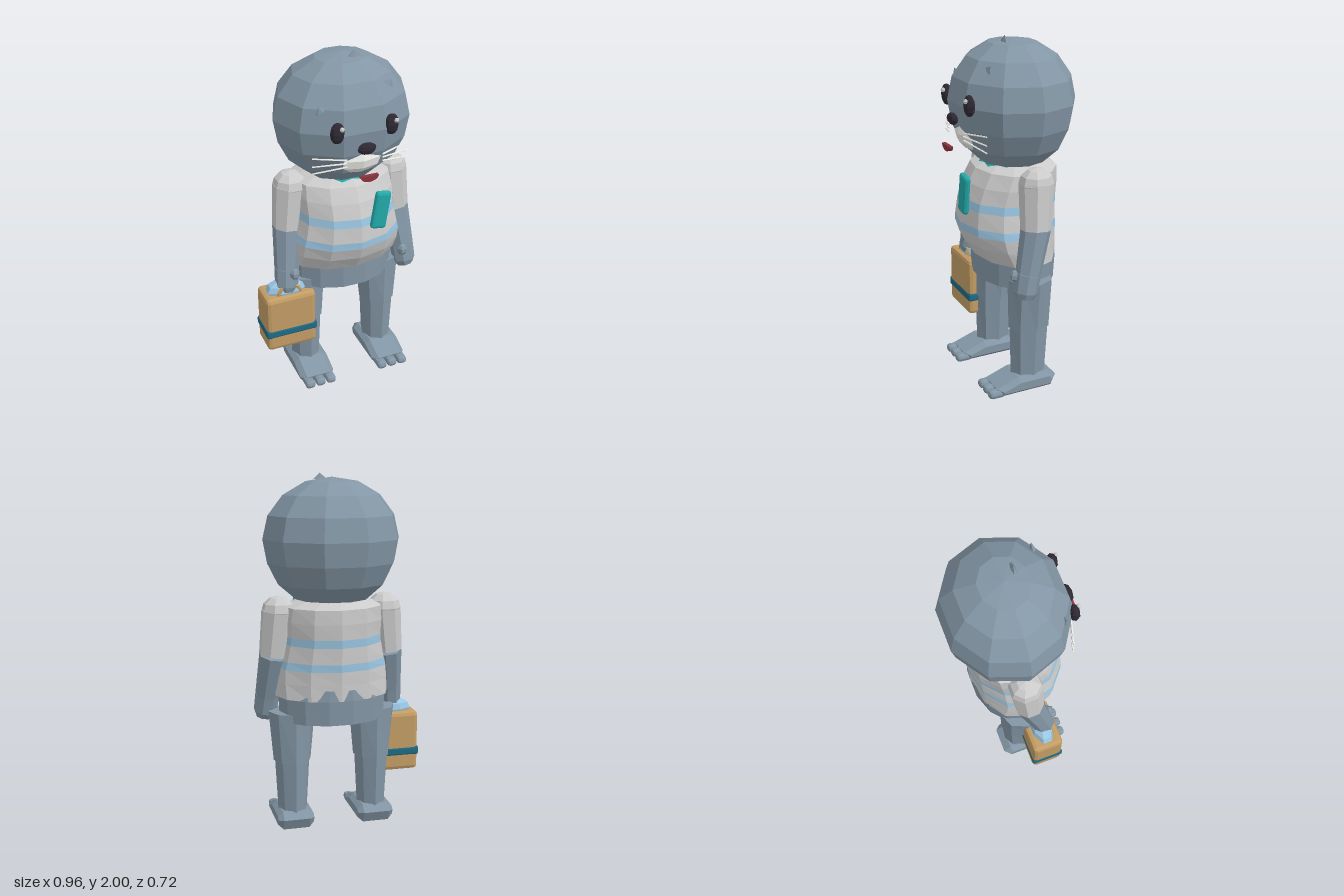
import * as THREE from 'three';
import { RoundedBoxGeometry } from 'three/addons/geometries/RoundedBoxGeometry.js';

const CX = 0.045; // the body stands slightly off centre because of the case

const mat = (color) => new THREE.MeshStandardMaterial({ color, flatShading: true, side: THREE.DoubleSide });
const M = {
  skin: mat(0x8396a5), white: mat(0xffffff), stripe: mat(0x9ac6e2), teal: mat(0x22aaaa),
  dark: mat(0x2e2833), mouth: mat(0x8a343c), tan: mat(0xc39d65), belt: mat(0x1f6a85), muzzle: mat(0xf0f0ec),
};

function add(parent, name, geometry, material, x = 0, y = 0, z = 0) {
  const mesh = new THREE.Mesh(geometry, material);
  mesh.name = name;
  mesh.position.set(x, y, z);
  parent.add(mesh);
  return mesh;
}

const ball = (rx, ry, rz, w = 8, h = 6) => new THREE.SphereGeometry(1, w, h).scale(rx, ry, rz);
const block = (w, h, d, r) => new RoundedBoxGeometry(w, h, d, 1, r);

// Skin through elliptical rings [y, halfWidth, zFront, zBack], listed from top to bottom
function loft(rings, n = 12, capTop = true, capBottom = true) {
  const pos = [], idx = [];
  for (const [y, rx, zf, zb] of rings) {
    for (let j = 0; j < n; j++) {
      const a = (j / n) * Math.PI * 2;
      pos.push(Math.cos(a) * rx, y, (zf + zb) / 2 + Math.sin(a) * (zf - zb) / 2);
    }
  }
  for (let i = 0; i < rings.length - 1; i++) {
    for (let j = 0; j < n; j++) {
      const k = (j + 1) % n, a = i * n, b = a + n;
      idx.push(a + j, a + k, b + j, a + k, b + k, b + j);
    }
  }
  const last = (rings.length - 1) * n;
  for (let j = 1; j < n - 1; j++) {
    if (capTop) idx.push(0, j + 1, j);
    if (capBottom) idx.push(last, last + j, last + j + 1);
  }
  const g = new THREE.BufferGeometry();
  g.setAttribute('position', new THREE.Float32BufferAttribute(pos, 3));
  g.setIndex(idx);
  g.computeVertexNormals();
  return g;
}

// Tapered rod between two points
function rod(parent, name, p, q, r0, r1, material, sides = 8) {
  const a = new THREE.Vector3(...p), b = new THREE.Vector3(...q);
  const dir = b.clone().sub(a);
  const mid = a.clone().add(b).multiplyScalar(0.5);
  const g = new THREE.CylinderGeometry(r1, r0, dir.length(), sides).rotateY(Math.PI / sides);
  const mesh = add(parent, name, g, material, mid.x, mid.y, mid.z);
  mesh.quaternion.setFromUnitVectors(new THREE.Vector3(0, 1, 0), dir.normalize());
}

function makeHead() {
  const head = new THREE.Group();
  head.name = 'head';
  const profile = [[1.98, 0.002], [1.957, 0.148], [1.885, 0.274], [1.776, 0.358], [1.648, 0.388],
    [1.518, 0.364], [1.4, 0.305], [1.313, 0.205], [1.285, 0.002]];
  add(head, 'skull', loft(profile.map(([y, r]) => [y, r, -0.03 + r * 0.894, -0.03 - r * 0.894]), 10), M.skin);

  // Hair tufts
  for (const [x, y, z, tilt, s] of [[0.05, 1.983, 0.037, 0, 1], [-0.215, 1.78, 0.21, 0.5, 0.8], [0.185, 1.858, 0.186, -0.6, 0.8]]) {
    const tuft = add(head, 'hairTuft', new THREE.ConeGeometry(1, 1, 6).scale(0.043 * s, 0.036, 0.014), M.skin, x, y, z);
    tuft.rotation.z = tilt;
  }

  // Face
  for (const s of [-1, 1]) {
    add(head, 'eye', ball(0.041, 0.059, 0.03), M.dark, s * 0.152, 1.668, 0.288);
    add(head, 'eyeGlint', ball(0.014, 0.014, 0.012, 6, 4), M.white, s * 0.152 + 0.015, 1.697, 0.315);
    for (const [y0, y1] of [[1.51, 1.527], [1.492, 1.48], [1.472, 1.44]]) {
      rod(head, 'whisker', [s * 0.1, y0, 0.3], [s * 0.275, y1, 0.246], 0.005, 0.004, M.muzzle, 5);
    }
  }
  add(head, 'muzzle', ball(0.15, 0.094, 0.09), M.muzzle, 0, 1.482, 0.202);
  add(head, 'nose', ball(0.053, 0.033, 0.025), M.dark, 0, 1.57, 0.32);
  const smile = new THREE.Shape();
  smile.absarc(0, 0, 0.052, Math.PI, Math.PI * 2, false);
  const smileGeo = new THREE.ExtrudeGeometry(smile, { depth: 0.022, bevelEnabled: false, curveSegments: 5 }).scale(1, 0.65, 1);
  add(head, 'mouth', smileGeo, M.mouth, 0, 1.43, 0.34);
  return head;
}

function makeTorso() {
  const torso = new THREE.Group();
  torso.name = 'torso';
  // Striped shirt, one strip per colour
  const rings = [
    [1.312, 0.2, 0.12, -0.22], [1.28, 0.285, 0.19, -0.268], [1.2, 0.295, 0.235, -0.272], [1.115, 0.292, 0.265, -0.268],
    [1.07, 0.298, 0.275, -0.265], [0.978, 0.318, 0.285, -0.262], [0.935, 0.33, 0.284, -0.26],
    [0.86, 0.333, 0.257, -0.257], [0.77, 0.328, 0.198, -0.255],
  ];
  const strips = [[0, 3, 'white'], [3, 4, 'stripe'], [4, 5, 'white'], [5, 6, 'stripe'], [6, 8, 'white']];
  for (const [from, to, color] of strips) {
    const g = loft(rings.slice(from, to + 1), 12, from === 0, to === 8);
    add(torso, color === 'white' ? 'shirt' : 'shirtStripe', g, M[color]);
  }
  // The hips show through the shirt only low on the back
  add(torso, 'hips', loft([[0.83, 0.27, 0.15, -0.253], [0.77, 0.312, 0.19, -0.258], [0.632, 0.306, 0.185, -0.25]], 14), M.skin);

  // Collar and tie
  add(torso, 'collar', loft([[1.325, 0.175, 0.13, -0.19], [1.29, 0.2, 0.155, -0.21]], 10), M.teal);
  const tie = add(torso, 'tie', block(0.092, 0.225, 0.038, 0.018), M.teal, 0.097, 1.175, 0.3);
  tie.rotation.z = -0.15;
  return torso;
}

function makeArm(s) {
  const arm = new THREE.Group();
  arm.name = s > 0 ? 'leftArm' : 'rightArm';
  const shoulder = [s * 0.305, 1.25, -0.028], elbow = [s * 0.332, 1.0, -0.014];
  const wrist = [s * 0.362, 0.76, 0.045], palm = [s * 0.372, 0.66, 0.066];
  add(arm, 'shoulder', ball(0.095, 0.088, 0.098, 8, 6).rotateY(Math.PI / 8), M.white, ...shoulder);
  rod(arm, 'sleeve', elbow, shoulder, 0.084, 0.096, M.white);
  rod(arm, 'forearm', wrist, elbow, 0.07, 0.083, M.skin);
  rod(arm, 'hand', palm, wrist, 0.067, 0.07, M.skin);
  rod(arm, 'fingers', [s * 0.376, 0.627, 0.073], palm, 0.05, 0.067, M.skin);
  add(arm, 'thumb', ball(0.031, 0.035, 0.032, 6, 5), M.skin, s * 0.338, 0.75, 0.11);
  return arm;
}

function makeLeg(s) {
  const leg = new THREE.Group();
  leg.name = s > 0 ? 'leftLeg' : 'rightLeg';
  leg.position.x = s * 0.235;
  add(leg, 'thigh', loft([[0.68, 0.134, 0.1, -0.157], [0.39, 0.108, 0.1, -0.15]], 8), M.skin);
  add(leg, 'shin', loft([[0.39, 0.1, 0.094, -0.145], [0.09, 0.084, 0.085, -0.13]], 8), M.skin);

  // Foot: chamfered side profile sloping down towards the toes
  const side = new THREE.Shape([[-0.118, 0.03], [0.17, 0.03], [0.175, 0.042], [0.07, 0.078], [-0.11, 0.078], [-0.132, 0.06]]
    .map(([z, y]) => new THREE.Vector2(z, y)));
  const foot = new THREE.ExtrudeGeometry(side, { depth: 0.15, bevelSize: 0.026, bevelThickness: 0.03, bevelSegments: 1 });
  foot.translate(0, 0, -0.075).rotateY(-Math.PI / 2);
  add(leg, 'foot', foot, M.skin);
  for (const i of [-1, 0, 1]) add(leg, 'toe', block(0.06, 0.048, 0.1, 0.02), M.skin, i * 0.066, 0.028, 0.207);
  return leg;
}

function makeCase() {
  const bag = new THREE.Group();
  bag.name = 'suitcase';
  bag.position.set(-0.325, 0, 0.048);
  add(bag, 'caseBody', block(0.3, 0.354, 0.186, 0.024), M.tan, 0, 0.444, 0);
  add(bag, 'caseStrap', block(0.31, 0.052, 0.192, 0.012), M.belt, 0, 0.382, 0);
  const handle = new THREE.TorusGeometry(0.068, 0.011, 5, 8, Math.PI);
  add(bag, 'caseHandle', handle, M.tan, 0, 0.612, 0.055);
  const bundle = new THREE.SphereGeometry(1, 8, 6).rotateY(Math.PI / 8).scale(0.13, 0.068, 0.068);
  add(bag, 'bundle', bundle, M.stripe, 0, 0.63, 0.003);
  return bag;
}

export function createModel() {
  const model = new THREE.Group();
  const figure = new THREE.Group();
  figure.name = 'figure';
  figure.position.x = CX;
  figure.add(makeHead(), makeTorso());
  for (const s of [-1, 1]) figure.add(makeArm(s), makeLeg(s));
  model.add(figure, makeCase());
  return model;
}
